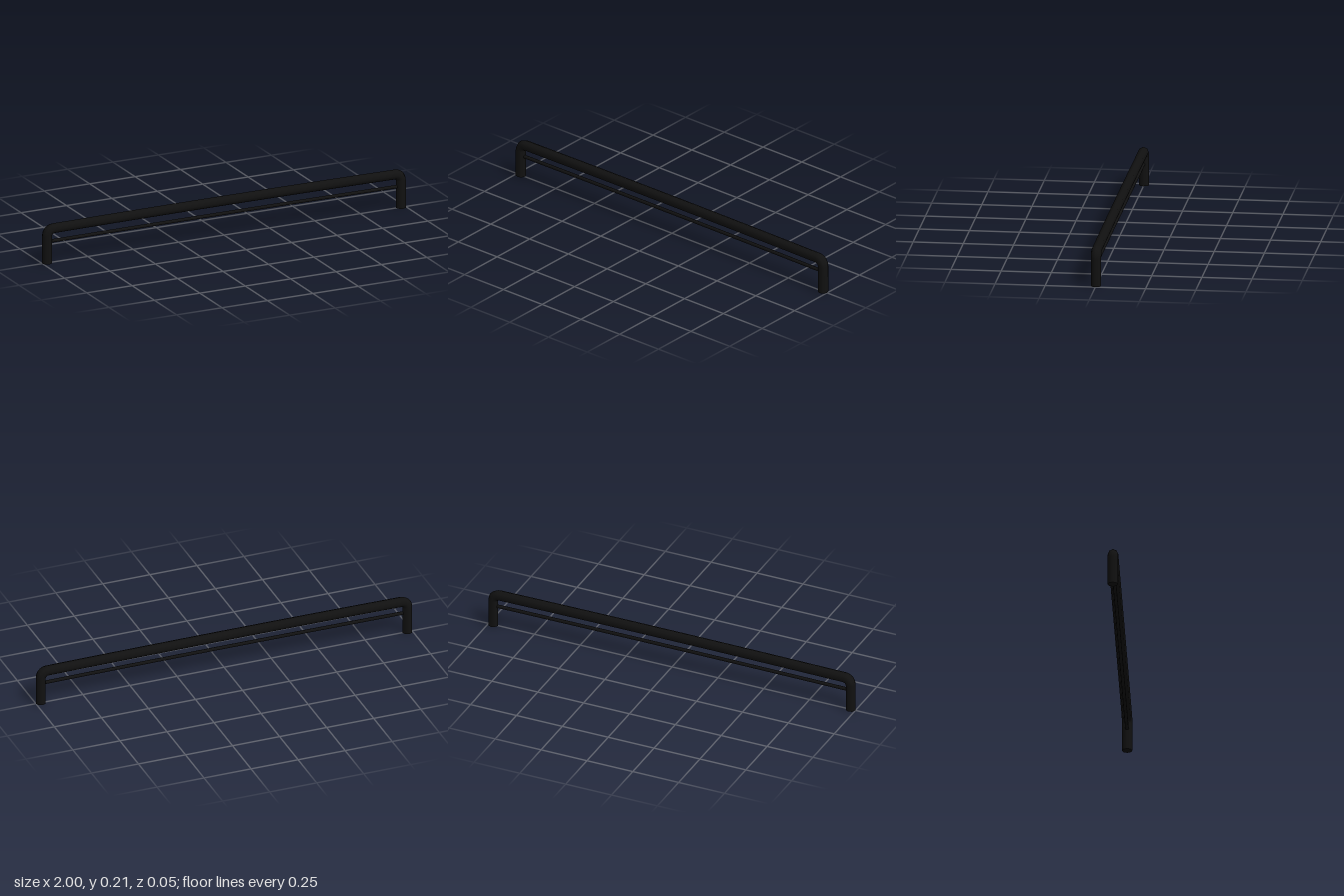
import * as THREE from 'three';

const black = new THREE.MeshStandardMaterial({ color: 0x111111 });

// Bends a straight cylinder along a path in the x-y plane, one ring per point.
function sweep(name, path, radius) {
  const n = path.length - 1;
  const geo = new THREE.CylinderGeometry(radius, radius, 1, 8, n);
  const pos = geo.attributes.position, nor = geo.attributes.normal;
  const z = new THREE.Vector3(0, 0, 1), v = new THREE.Vector3();
  for (let k = 0; k < pos.count; k++) {
    const i = Math.round((0.5 - pos.getY(k)) * n);
    const p = path[i];
    const up = path[Math.max(i - 1, 0)].clone().sub(path[Math.min(i + 1, n)]).normalize();
    const frame = new THREE.Matrix4().makeBasis(new THREE.Vector3(up.y, -up.x, 0), up, z);
    v.set(pos.getX(k), 0, pos.getZ(k)).applyMatrix4(frame).add(p);
    pos.setXYZ(k, v.x, v.y, v.z);
    v.fromBufferAttribute(nor, k).applyMatrix4(frame);
    nor.setXYZ(k, v.x, v.y, v.z);
  }
  const mesh = new THREE.Mesh(geo, black);
  mesh.name = name;
  return mesh;
}

// A shallow upward bow between two ends.
function bow(halfLength, y, rise, steps) {
  return Array.from({ length: steps + 1 }, (_, i) => {
    const t = (2 * i) / steps - 1;
    return new THREE.Vector3(t * halfLength, y + rise * (1 - t * t), 0);
  });
}

export function createModel() {
  const group = new THREE.Group();
  group.name = 'barrier rail';

  // Main tube: leg, rounded corner, bowed top rail, corner, leg
  const radius = 0.026, legX = 1 - radius, bend = 0.034, railY = 0.176;
  const leg = [new THREE.Vector3(-legX, 0, 0)];
  for (let i = 0; i < 5; i++) {
    const a = (i / 5) * Math.PI / 2;
    leg.push(new THREE.Vector3(
      -legX + bend * (1 - Math.cos(a)), railY - bend + bend * Math.sin(a), 0));
  }
  const otherLeg = leg.map(p => new THREE.Vector3(-p.x, p.y, 0)).reverse();
  group.add(sweep('legs and top rail',
    [...leg, ...bow(legX - bend, railY, 0.004, 12), ...otherLeg], radius));

  // Thin rod between the legs
  group.add(sweep('lower rod', bow(legX, 0.111, 0.003, 12), 0.009));
  return group;
}
